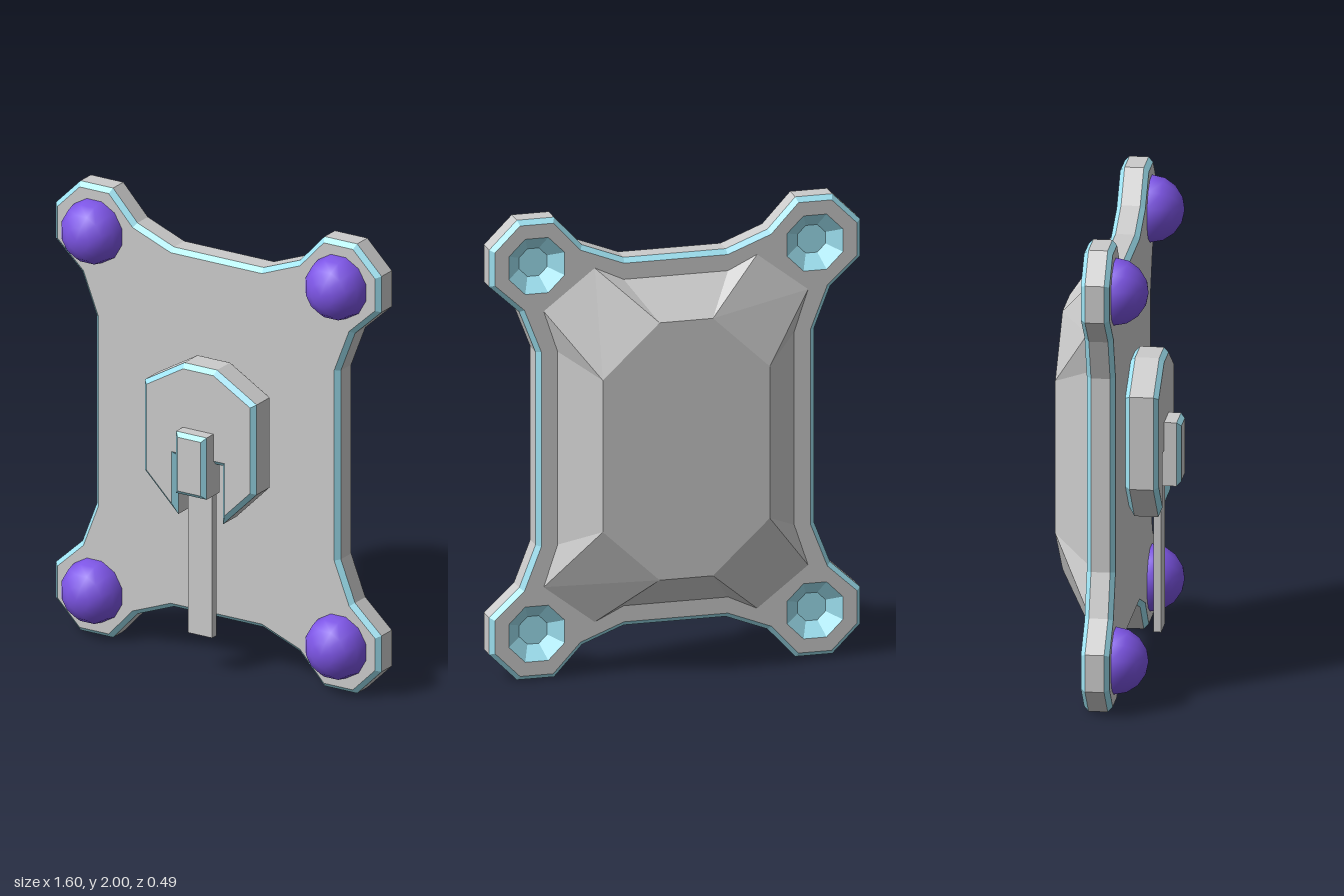
import * as THREE from 'three';

const grey = new THREE.MeshStandardMaterial({ color: 0xcccccc });
const blue = new THREE.MeshStandardMaterial({ color: 0xa0e4f4, side: THREE.DoubleSide });
const purple = new THREE.MeshStandardMaterial({ color: 0x7d55e6 });

const mirrorX = (half) => [...half, ...half.map(([x, y]) => [-x, y]).reverse()];
const mirrorXY = (quarter) => {
  const top = mirrorX(quarter);
  return [...top, ...top.map(([x, y]) => [x, -y]).reverse()];
};
const ring = (n, r, cx = 0, cy = 0) => Array.from({ length: n }, (_, i) => {
  const a = ((i + 0.5) / n) * Math.PI * 2;
  return [cx + r * Math.cos(a), cy + r * Math.sin(a)];
});

// Moves every edge of a counter-clockwise outline inward by d
function inset(loop, d) {
  const n = loop.length;
  const normal = (p, q) => {
    const l = Math.hypot(q[0] - p[0], q[1] - p[1]);
    return [-(q[1] - p[1]) / l, (q[0] - p[0]) / l];
  };
  return loop.map((p, i) => {
    const a = normal(loop[(i + n - 1) % n], p);
    const b = normal(p, loop[(i + 1) % n]);
    const k = d / (1 + a[0] * b[0] + a[1] * b[1]);
    return [p[0] + (a[0] + b[0]) * k, p[1] + (a[1] + b[1]) * k];
  });
}

function addMesh(group, name, geometry, material) {
  const mesh = new THREE.Mesh(geometry, material);
  mesh.name = name;
  group.add(mesh);
  return mesh;
}

// Flat-shaded band from loop a at height za up to loop b at height zb
function band(a, za, b, zb) {
  const v = [];
  a.forEach((p, i) => {
    const j = (i + 1) % a.length;
    const A = [...p, za], B = [...a[j], za], C = [...b[j], zb], D = [...b[i], zb];
    v.push(...A, ...B, ...C, ...A, ...C, ...D);
  });
  const g = new THREE.BufferGeometry();
  g.setAttribute('position', new THREE.Float32BufferAttribute(v, 3));
  g.computeVertexNormals();
  return g;
}

// Flat cap; the outlines are symmetric in x, so a half turn makes a back cap
function cap(loop, z, back = false, holes = []) {
  const toPoints = (l) => l.map(([x, y]) => new THREE.Vector2(x, y));
  const shape = new THREE.Shape(toPoints(loop));
  holes.forEach((h) => shape.holes.push(new THREE.Path(toPoints(h))));
  const g = new THREE.ShapeGeometry(shape);
  if (back) g.rotateY(Math.PI);
  return g.translate(0, 0, z);
}

// Slab with grey faces and coloured bevels on both rims
function bevelledSlab(name, loop, z0, z1, bevel, holes = []) {
  const group = new THREE.Group();
  group.name = name;
  const inner = inset(loop, bevel);
  addMesh(group, name + 'Wall', band(loop, z0 + bevel, loop, z1 - bevel), grey);
  addMesh(group, name + 'BackBevel', band(inner, z0, loop, z0 + bevel), blue);
  addMesh(group, name + 'FrontBevel', band(loop, z1 - bevel, inner, z1), blue);
  addMesh(group, name + 'FrontFace', cap(inner, z1), grey);
  addMesh(group, name + 'BackFace', cap(inner, z0, true, holes), grey);
  return group;
}

export function createModel() {
  const model = new THREE.Group();
  const body = new THREE.Group(); // modelled around y = 0, then lifted
  body.name = 'panel';
  body.position.y = 1;
  model.add(body);

  const corners = [[0.6, 0.8], [-0.6, 0.8], [-0.6, -0.8], [0.6, -0.8]];

  // Base plate with four corner lobes and dimple openings in its back
  const outline = mirrorXY([[0.6, 0.42], [0.67, 0.6], [0.8, 0.72], [0.8, 0.88],
    [0.68, 1], [0.52, 1], [0.4, 0.87], [0.22, 0.8]]);
  const openings = corners.map(([x, y]) => ring(8, 0.13, x, y));
  body.add(bevelledSlab('basePlate', outline, -0.085, 0.035, 0.02, openings));

  // Corner studs in front, faceted dimples behind
  corners.forEach(([x, y], i) => {
    const stud = new THREE.SphereGeometry(0.141, 12, 8);
    stud.rotateX(Math.PI / 2).rotateZ(Math.PI / 12);
    addMesh(body, 'cornerStud', stud.scale(1, 1, 1).translate(x, y, 0.035), purple)
      .geometry.computeBoundingSphere();
    const floor = ring(8, 0.065, x, y);
    const dimple = new THREE.Group();
    dimple.name = 'cornerDimple';
    addMesh(dimple, 'dimpleWall', band(floor, -0.03, openings[i], -0.085), blue);
    addMesh(dimple, 'dimpleFloor', cap(floor, -0.03), blue);
    body.add(dimple);
    // Keep only the front half of the stud so the dimple stays open
    const pos = stud.attributes.position;
    for (let k = 0; k < pos.count; k++) pos.setZ(k, Math.max(pos.getZ(k), 0.03));
  });

  // Raised back: diagonal corner facets stand proud of the side panels
  const rim = mirrorXY([[0.36, 0.33], [0.36, 0.33], [0.115, 0.56], [0.115, 0.56]]);
  const foot = mirrorXY([[0.51, 0.42], [0.57, 0.6], [0.35, 0.77], [0.225, 0.71]]);
  addMesh(body, 'backDomeSides', band(rim, -0.245, foot, -0.085), grey);
  const rimFace = mirrorXY([[0.36, 0.33], [0.115, 0.56]]);
  addMesh(body, 'backDomeFace', cap(rimFace, -0.245, true), grey);

  // Latch housing with a slot cut into its lower edge
  const housing = mirrorX([[0.11, -0.06], [0.11, -0.32], [0.275, -0.155],
    [0.275, 0.245], [0.08, 0.36]]);
  body.add(bevelledSlab('latchHousing', housing, 0.035, 0.175, 0.02));

  // Latch block bridging the slot
  const block = mirrorX([[0.075, -0.195], [0.075, 0.08]]);
  body.add(bevelledSlab('latchBlock', block, 0.11, 0.245, 0.018));

  // Twin bars hanging down from the block
  for (const side of [-1, 1]) {
    const bar = new THREE.BoxGeometry(0.06, 0.78, 0.032);
    addMesh(body, 'hangingBar', bar.translate(side * 0.03, -0.445, 0.145), grey);
  }
  return model;
}
